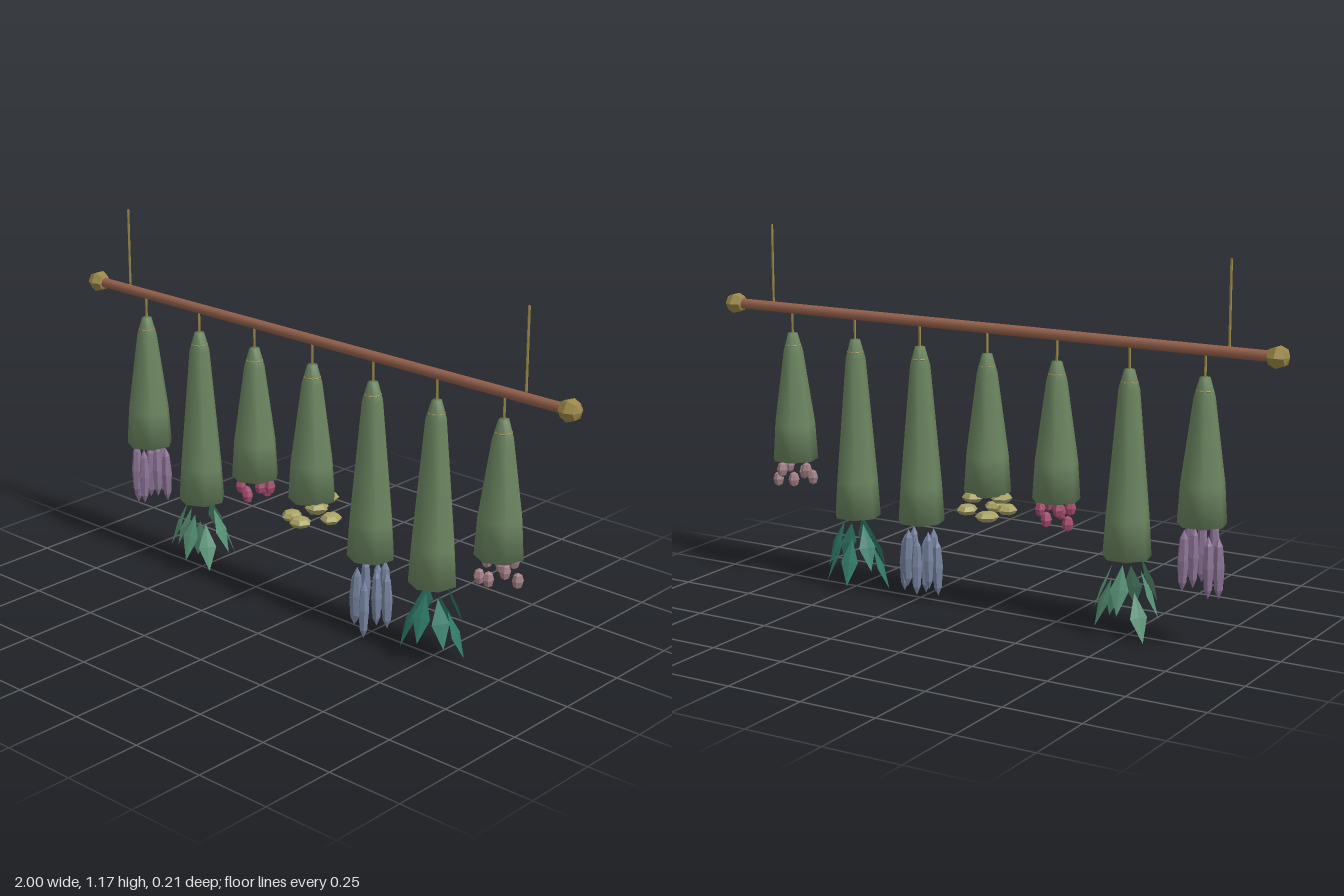
import * as THREE from 'three';

const material = (name, color, flatShading = true) => {
  const m = new THREE.MeshStandardMaterial({ color, flatShading });
  m.name = name;
  return m;
};
const wood = material('wood', 0x93604b, false);
const brass = material('brass', 0x9a8748);
const stems = material('stemGreen', 0x6b8560, false);
const lavender = material('lavender', 0x8c7496);
const blue = material('dustyBlue', 0x7784a0);
const berry = material('berryRed', 0xa54e6e);
const sage = material('sageLeaf', 0x569074);
const teal = material('tealLeaf', 0x2f7a68);
const rose = material('paleRose', 0xa28086);
const seed = material('seedYellow', 0xa8a264);

const add = (parent, name, geo, mat, x = 0, y = 0, z = 0) => {
  const mesh = new THREE.Mesh(geo, mat);
  mesh.name = name;
  mesh.position.set(x, y, z);
  parent.add(mesh);
  return mesh;
};
const blob = (rx, ry, rz) => new THREE.SphereGeometry(1, 6, 4).scale(rx, ry, rz);

// Hanging pieces: each shape has its pivot at the top and hangs down
const spike = blob(0.018, 0.095, 0.018).translate(0, -0.095, 0);
const fruit = blob(0.018, 0.026, 0.018).translate(0, -0.026, 0);
const flatSeed = blob(0.038, 0.018, 0.034).translate(0, -0.018, 0);
const leaf = new THREE.OctahedronGeometry(1).scale(0.029, 0.078, 0.004).translate(0, -0.078, 0);

// Tapered bundle of stems, closed at the bottom
function bundle(bottom) {
  const profile = [[0, bottom], [0.076, bottom], [0.068, bottom + 0.12], [0.033, 0.775], [0.016, 0.835], [0, 0.835]];
  return new THREE.LatheGeometry(profile.map(([r, y]) => new THREE.Vector2(r, y)), 7);
}

// One ring of pieces; tops lists the height at which each piece hangs
function ring(parent, name, geo, mat, { tops, radius, tilt = 0, start = 0 }) {
  tops.forEach((y, i) => {
    const a = start + (i / tops.length) * Math.PI * 2;
    const r = radius * (i % 2 ? 0.88 : 1);
    const mesh = add(parent, name, geo, mat, Math.sin(a) * r, y, Math.cos(a) * r);
    mesh.rotation.set(-tilt, a, 0, 'YXZ');
  });
}

export function createModel() {
  const model = new THREE.Group();
  model.name = 'hangingHerbRack';

  // Rod, end knobs and the two hanging cords
  add(model, 'rod', new THREE.CylinderGeometry(0.017, 0.017, 1.92, 8).rotateZ(Math.PI / 2), wood, 0, 0.915);
  for (const s of [-1, 1]) {
    const knob = new THREE.SphereGeometry(0.036, 6, 4).rotateY(Math.PI / 2).rotateZ(Math.PI / 2);
    add(model, 'endKnob', knob, brass, s * 0.964, 0.915);
    add(model, 'hangingCord', new THREE.CylinderGeometry(0.004, 0.004, 0.27, 5), brass, s * 0.812, 1.05);
  }

  // Seven bundles from the model's right to its left
  const kinds = [
    { bottom: 0.395, name: 'lavenderSpike', geo: spike, mat: lavender, radius: 0.052, tilt: 0.02, start: -1.4,
      tops: [0.36, 0.4, 0.39, 0.41, 0.38, 0.4, 0.37] },
    { bottom: 0.26, name: 'sageLeaf', geo: leaf, mat: sage, radius: 0.05, tilt: 0.38, start: -0.6,
      tops: [0.25, 0.22, 0.19, 0.235, 0.2, 0.245, 0.16, 0.22] },
    { bottom: 0.405, name: 'redBerry', geo: fruit, mat: berry, radius: 0.048, start: 0.2,
      tops: [0.38, 0.41, 0.4, 0.375, 0.41, 0.36, 0.4] },
    { bottom: 0.395, name: 'flatSeed', geo: flatSeed, mat: seed, radius: 0.064, start: 0.1,
      tops: [0.353, 0.405, 0.355, 0.408, 0.352, 0.405, 0.355] },
    { bottom: 0.27, name: 'blueSpike', geo: spike, mat: blue, radius: 0.052, tilt: 0.02, start: 0.3,
      tops: [0.205, 0.245, 0.225, 0.25, 0.23, 0.245, 0.215, 0.24] },
    { bottom: 0.255, name: 'tealLeaf', geo: leaf, mat: teal, radius: 0.05, tilt: 0.38, start: 0.25,
      tops: [0.24, 0.22, 0.17, 0.245, 0.19, 0.235, 0.16, 0.21] },
    { bottom: 0.415, name: 'paleBud', geo: fruit, mat: rose, radius: 0.058, start: 0.1,
      tops: [0.385, 0.41, 0.37, 0.412, 0.385, 0.41, 0.375] },
  ];
  kinds.forEach((k, i) => {
    const group = new THREE.Group();
    group.name = k.name + 'Bundle';
    group.position.x = (i - 3) * 0.246;
    add(group, 'bundleCord', new THREE.CylinderGeometry(0.004, 0.004, 0.08, 5), brass, 0, 0.87);
    add(group, 'stemBundle', bundle(k.bottom), stems);
    add(group, 'twine', new THREE.TorusGeometry(0.0245, 0.0025, 4, 14).rotateX(Math.PI / 2), brass, 0, 0.796);
    ring(group, k.name, k.geo, k.mat, k);
    model.add(group);
  });
  return model;
}
